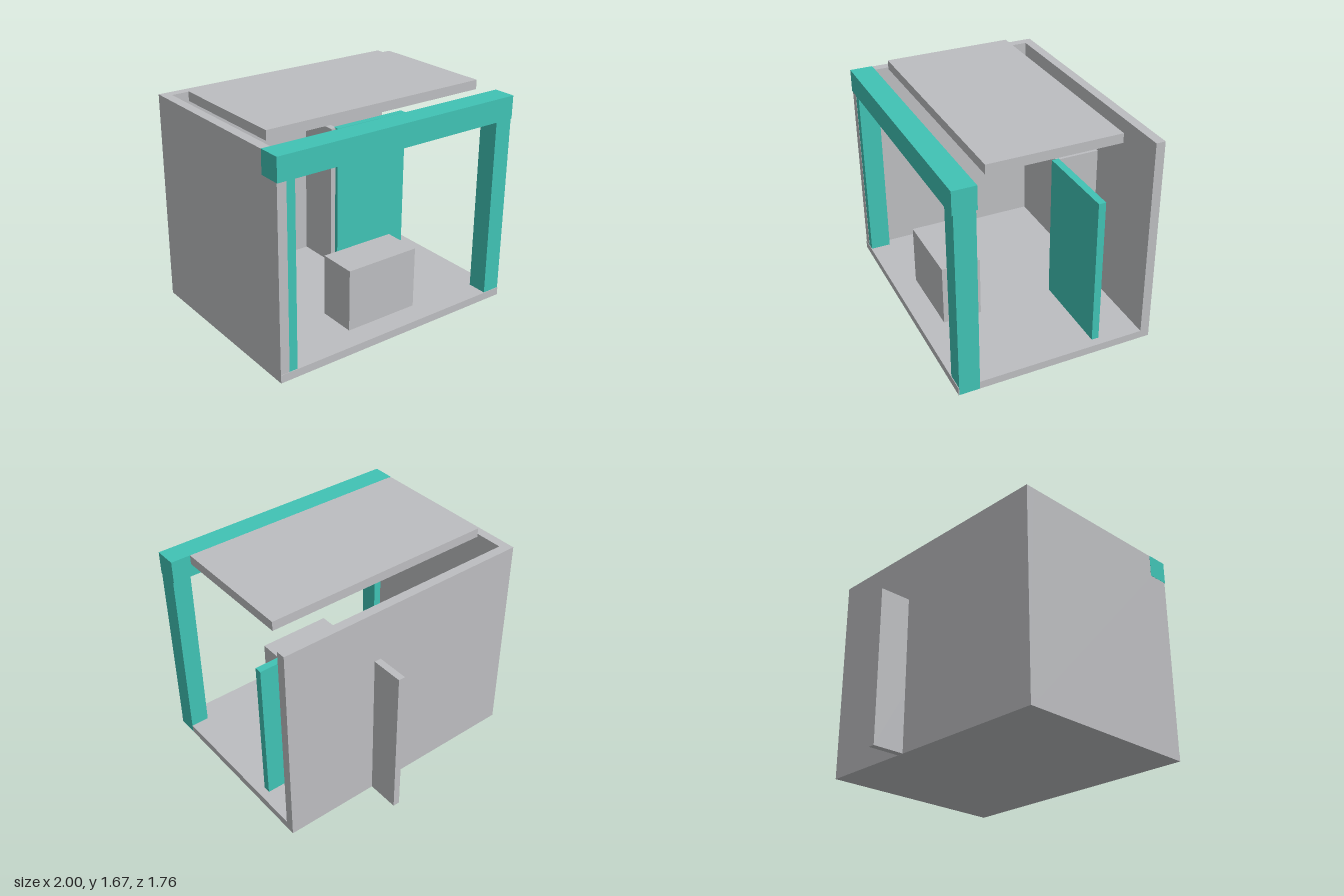
import * as THREE from 'three';

export function createModel() {
  const model = new THREE.Group();
  model.name = 'booth';

  const grey = new THREE.MeshStandardMaterial({ color: 0xbcbdc0 });
  grey.name = 'grey';
  const teal = new THREE.MeshStandardMaterial({ color: 0x40c2b4 });
  teal.name = 'teal';

  // Box given by its extents along each axis
  function slab(name, material, [x0, x1], [y0, y1], [z0, z1]) {
    const mesh = new THREE.Mesh(new THREE.BoxGeometry(x1 - x0, y1 - y0, z1 - z0), material);
    mesh.position.set((x0 + x1) / 2, (y0 + y1) / 2, (z0 + z1) / 2);
    mesh.name = name;
    model.add(mesh);
  }

  // Shell: floor, back wall and one side wall
  slab('floor', grey, [-1, 1], [0, 0.06], [-0.63, 0.875]);
  slab('backWall', grey, [-1, 1], [0.06, 1.6], [-0.63, -0.56]);
  slab('sideWall', grey, [-1, -0.93], [0.06, 1.6], [-0.56, 0.872]);

  // Floating roof panel
  slab('roofPanel', grey, [-0.9, 0.9], [1.6, 1.67], [-0.37, 0.61]);

  // Front frame: two posts and a header beam
  slab('rightPost', teal, [-0.93, -0.865], [0.001, 1.44], [0.717, 0.87]);
  slab('leftPost', teal, [0.86, 1.001], [0.001, 1.44], [0.717, 0.87]);
  slab('headerBeam', teal, [-1.001, 1.001], [1.43, 1.602], [0.706, 0.878]);

  // Inner partition and the fin wall running out through the back
  slab('partition', teal, [0.26, 0.935], [0.001, 1.2], [-0.245, -0.19]);
  slab('finWall', grey, [0.22, 0.272], [0.001, 1.199], [-0.878, -0.22]);

  // Counter near the front opening
  slab('counter', grey, [-0.3, 0.295], [0.06, 0.533], [0.4, 0.696]);

  return model;
}
